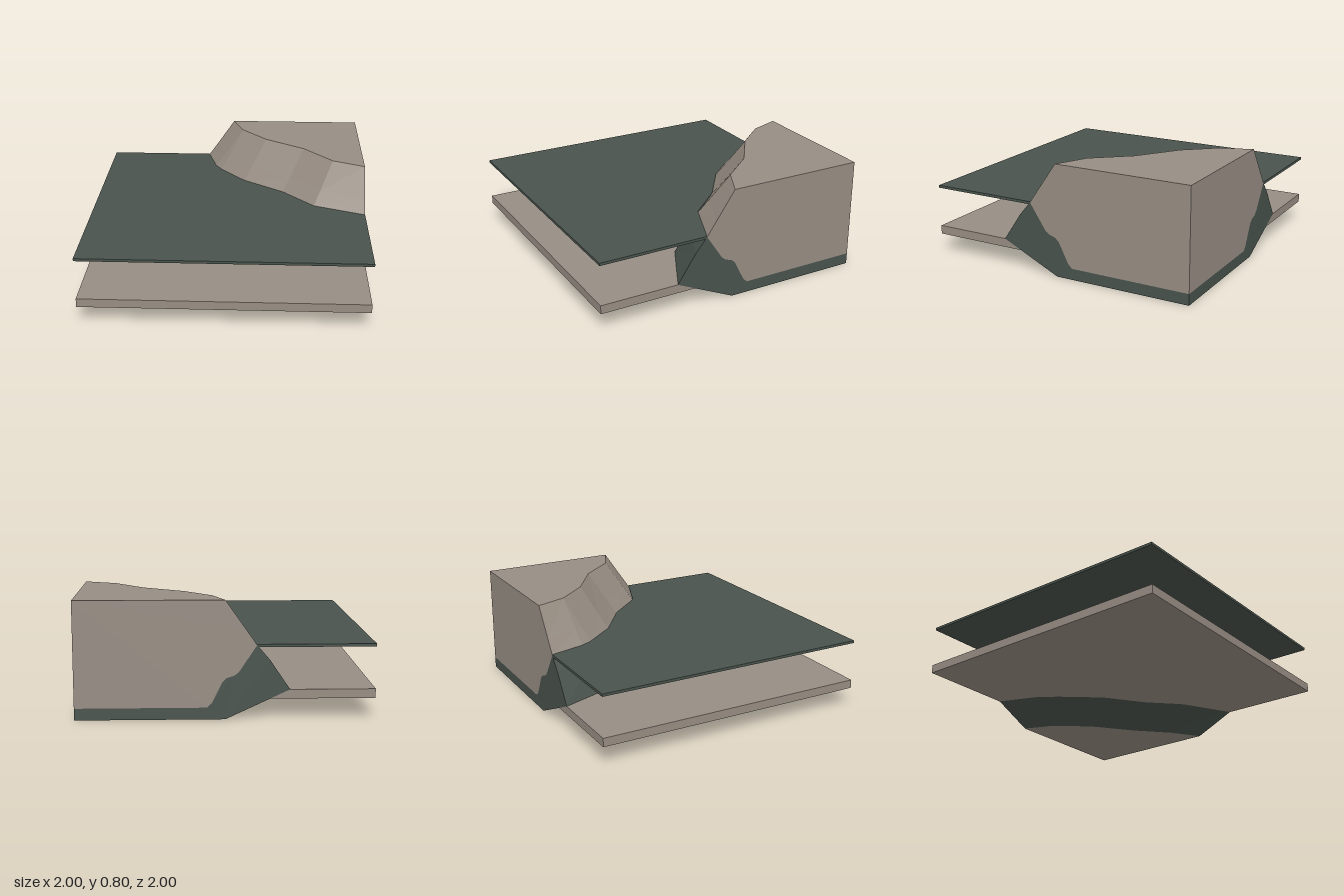
import * as THREE from 'three';

const rockMat = new THREE.MeshStandardMaterial({ color: 0x978d83 });
rockMat.name = 'warm grey stone';
const waterMat = new THREE.MeshStandardMaterial({ color: 0x49534d });
waterMat.name = 'dark green water';

// Cliff contours [x, z], running from the back edge to the right edge
const rim = [[0, -1], [0.08, -0.78], [0.08, -0.78], [0.27, -0.56], [0.56, -0.36], [0.77, -0.11], [1, 0]];
const shore = [[-0.21, -1], [-0.14, -0.74], [-0.09, -0.65], [0.1, -0.42], [0.4, -0.2], [0.63, 0.06], [1, 0.21]];
const toe = [[-0.43, -1], [-0.31, -0.68], [-0.17, -0.48], [0.07, -0.2], [0.36, 0], [0.57, 0.21], [1, 0.43]];
const base = [[0, -1], [0.09, -0.78], [0.09, -0.78], [0.29, -0.55], [0.57, -0.34], [0.79, -0.14], [1, 0]];

const mix = (a, b, t) => a.map((p, i) => p.map((v, k) => v + (b[i][k] - v) * t));
const at = (ring, y) => ring.map(([x, z]) => new THREE.Vector3(x, y, z));

function addTriangle(out, a, b, c) {
  const n = b.clone().sub(a).cross(c.clone().sub(a));
  if (n.length() > 1e-7) out.push(a, b, c);
}

// Flat polygon facing the given axis direction
function polygon(points, normal) {
  const flat = points.map((p) => normal.y ? new THREE.Vector2(p.x, p.z)
    : normal.x ? new THREE.Vector2(p.z, p.y) : new THREE.Vector2(p.x, p.y));
  const out = [];
  for (const f of THREE.ShapeUtils.triangulateShape(flat, [])) {
    const [a, b, c] = f.map((i) => points[i]);
    const n = b.clone().sub(a).cross(c.clone().sub(a));
    if (n.dot(normal) > 0) addTriangle(out, a, b, c);
    else addTriangle(out, a, c, b);
  }
  return out;
}

// Wall between stacked paths, listed from top to bottom
function wall(paths) {
  const out = [];
  for (let r = 0; r < paths.length - 1; r++) {
    const a = paths[r], b = paths[r + 1];
    for (let i = 0; i < a.length - 1; i++) {
      addTriangle(out, b[i], b[i + 1], a[i + 1]);
      addTriangle(out, b[i], a[i + 1], a[i]);
    }
  }
  return out;
}

function mesh(name, triangles, material) {
  const geometry = new THREE.BufferGeometry().setFromPoints(triangles);
  geometry.computeVertexNormals();
  const m = new THREE.Mesh(geometry, material);
  m.name = name;
  return m;
}

const UP = new THREE.Vector3(0, 1, 0);
const DOWN = new THREE.Vector3(0, -1, 0);
const RIGHT = new THREE.Vector3(1, 0, 0);
const BACK = new THREE.Vector3(0, 0, -1);

// Thin layer filling the tile outside the cliff
function slab(name, topRing, topY, lowRing, lowY, material) {
  const corners = [[1, 1], [-1, 1], [-1, -1]];
  const top = at([...topRing, ...corners], topY);
  const low = at([...lowRing, ...corners], lowY);
  const edge = (p) => [...p.slice(topRing.length - 1), p[0]].reverse();
  return mesh(name, [...polygon(top, UP), ...polygon(low, DOWN), ...wall([edge(top), edge(low)])], material);
}

export function createModel() {
  const model = new THREE.Group();
  model.name = 'coastalCliffTile';

  // Cliff block
  const cliff = new THREE.Group();
  cliff.name = 'cliff';
  const corner = [[1, -1]];
  cliff.add(
    mesh('cliffTop', polygon(at([...rim, ...corner], 0.8), UP), rockMat),
    mesh('cliffBottom', polygon(at([...base, ...corner], 0), DOWN), rockMat),
    mesh('drySlope', wall([at(rim, 0.8), at(mix(rim, shore, 0.66), 0.6), at(shore, 0.5)]), rockMat),
    mesh('wetSlope', wall([at(shore, 0.5), at(mix(shore, toe, 0.38), 0.4), at(toe, 0.2), at(base, 0)]), waterMat),
  );

  // Cut sides, split along the wet line: [distance outward, height]
  const wetLine = [[0.21, 0.5], [0.09, 0.32], [0.06, 0.295], [0.01, 0.28], [-0.02, 0.25],
    [-0.09, 0.11], [-0.12, 0.08], [-1, 0.08]];
  const dry = [...wetLine, [-1, 0.8], [0, 0.8], [0.14, 0.6]];
  const wet = [...wetLine, [-1, 0], [0, 0], [0.43, 0.2], [0.295, 0.4]];
  const sides = [
    ['right', RIGHT, ([d, y]) => new THREE.Vector3(1, y, d)],
    ['back', BACK, ([d, y]) => new THREE.Vector3(-d, y, -1)],
  ];
  for (const [name, normal, place] of sides) {
    cliff.add(mesh(name + 'DrySide', polygon(dry.map(place), normal), rockMat));
    cliff.add(mesh(name + 'WetSide', polygon(wet.map(place), normal), waterMat));
  }
  model.add(cliff);

  // Sea bed and water sheet
  model.add(slab('seaBed', toe, 0.2, mix(toe, base, 0.31), 0.138, rockMat));
  model.add(slab('waterSheet', shore, 0.505, shore, 0.486, waterMat));
  return model;
}
